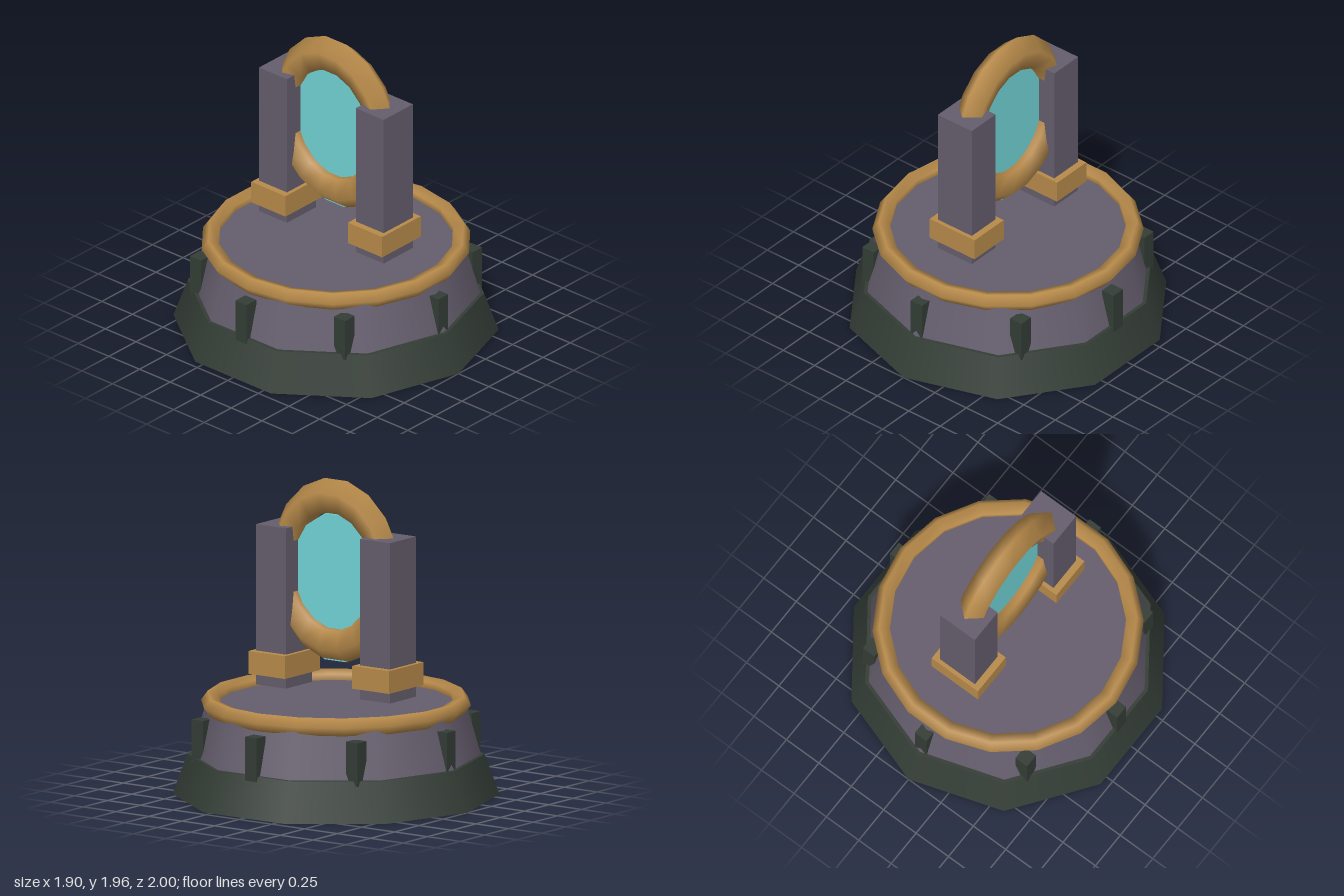
import * as THREE from 'three';

const flat = (name, color) => {
  const m = new THREE.MeshStandardMaterial({ color });
  m.name = name;
  return m;
};

export function createModel() {
  const group = new THREE.Group();
  const darkGreen = flat('darkGreen', 0x343d36);
  const stone = flat('purpleStone', 0x655d6d);
  const gold = flat('gold', 0xb78a4a);
  const teal = flat('teal', 0x72d4d6);

  const add = (name, geometry, material, x = 0, y = 0, z = 0) => {
    const mesh = new THREE.Mesh(geometry, material);
    mesh.name = name;
    mesh.position.set(x, y, z);
    group.add(mesh);
    return mesh;
  };

  // Ten-sided foot and drum
  add('foot', new THREE.CylinderGeometry(0.91, 1, 0.25, 10), darkGreen, 0, 0.125, 0);
  add('drum', new THREE.CylinderGeometry(0.796, 0.887, 0.318, 10), stone, 0, 0.409, 0);

  // Gold rim standing proud of the drum top
  const rim = new THREE.TorusGeometry(0.772, 0.059, 5, 18).rotateX(Math.PI / 2);
  add('rim', rim, gold, 0, 0.571, 0);

  // Eight square studs, all aligned to the axes
  const stud = new THREE.BoxGeometry(0.09, 0.273, 0.09);
  for (let i = 0; i < 8; i++) {
    const a = (i * Math.PI) / 4;
    add('stud', stud, darkGreen, 0.832 * Math.sin(a), 0.354, 0.832 * Math.cos(a));
  }

  // Pair of pillars with gold collars
  for (const side of [1, -1]) {
    add('pillar', new THREE.BoxGeometry(0.27, 1, 0.228), stone, 0, 1.145, side * 0.395);
    add('collar', new THREE.BoxGeometry(0.357, 0.142, 0.28), gold, 0, 0.786, side * 0.395);
  }

  // Upright oval ring between the pillars
  const ring = new THREE.TorusGeometry(0.384, 0.095, 5, 18).rotateY(Math.PI / 2);
  add('ring', ring, gold, 0, 1.396, 0).scale.set(1, 1.2, 1.03);

  // Thin oval pane inside the ring, set a little lower
  const pane = new THREE.CylinderGeometry(1, 1, 0.024, 14)
    .rotateZ(Math.PI / 2)
    .scale(1, 0.467, 0.352);
  add('pane', pane, teal, 0, 1.288, 0);

  return group;
}
